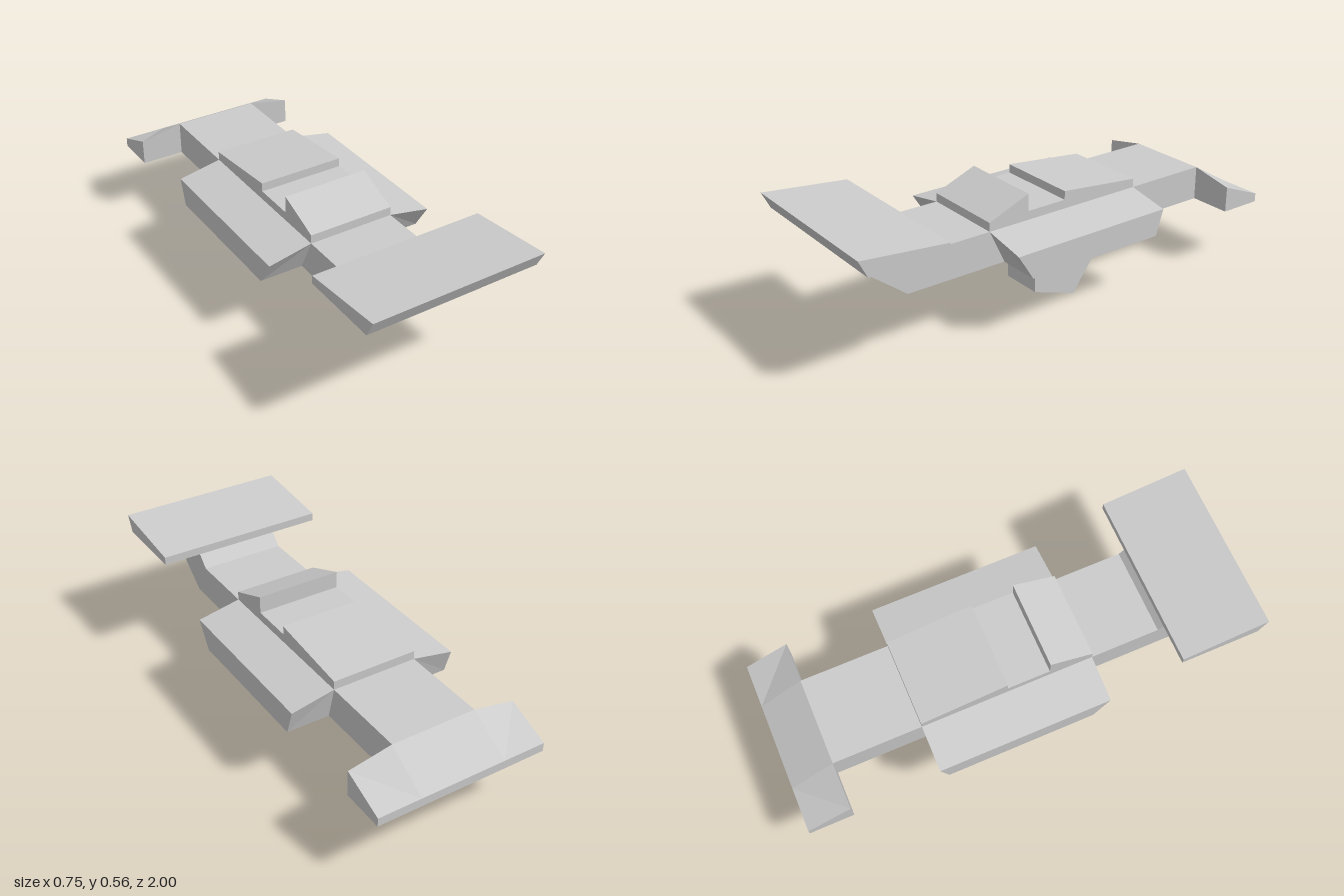
import * as THREE from 'three';

const HALF = 0.188;  // half width of the hull
const WIDE = 0.377;  // half width of wings and pods

const material = new THREE.MeshStandardMaterial({ color: 0xcccccc, flatShading: true });

function addMesh(group, name, geometry) {
  const mesh = new THREE.Mesh(geometry, material);
  mesh.name = name;
  group.add(mesh);
}

// Side profile of [z, y] points, extruded across from x0 to x1
function sideExtrude(profile, x0, x1) {
  const shape = new THREE.Shape(profile.map(([z, y]) => new THREE.Vector2(-z, y)));
  const geometry = new THREE.ExtrudeGeometry(shape, { depth: x1 - x0, bevelEnabled: false });
  return geometry.rotateY(Math.PI / 2).translate(x0, 0, 0);
}

// Four-sided block between an inner and an outer [z, y] section; side is 1 or -1
function sideBlock(inner, outer, side) {
  const a = inner.map(([z, y]) => [side * HALF, y, z]);
  const b = outer.map(([z, y]) => [side * WIDE, y, z]);
  const triangles = [[b[0], b[1], b[2]], [b[0], b[2], b[3]], [a[2], a[1], a[0]], [a[3], a[2], a[0]]];
  for (let i = 0; i < 4; i++) {
    const j = (i + 1) % 4;
    // The back end folds along the opposite diagonal
    if (i === 1) triangles.push([a[i], a[j], b[i]], [a[j], b[j], b[i]]);
    else triangles.push([a[i], a[j], b[j]], [a[i], b[j], b[i]]);
  }
  if (side < 0) triangles.forEach((t) => t.reverse());
  const geometry = new THREE.BufferGeometry();
  geometry.setAttribute('position', new THREE.Float32BufferAttribute(triangles.flat(2), 3));
  geometry.computeVertexNormals();
  return geometry;
}

export function createModel() {
  const group = new THREE.Group();
  group.name = 'racer';

  // Hull with sloped nose and raised tail strut
  addMesh(group, 'hull', sideExtrude([
    [0.70, 0.257], [-1, 0.257], [-1, 0.295], [-0.81, 0.407],
    [0.62, 0.407], [0.70, 0.487], [0.89, 0.487], [0.89, 0.407],
  ], -HALF, HALF));

  // Cockpit cover with a stepped seat gap
  addMesh(group, 'cockpit', sideExtrude([
    [0.32, 0.407], [-0.43, 0.407], [-0.43, 0.445], [-0.055, 0.483],
    [-0.055, 0.445], [0.13, 0.445], [0.13, 0.52], [0.32, 0.445],
  ], -HALF, HALF));

  // Tail wing
  addMesh(group, 'tailWing', sideExtrude([
    [0.965, 0.485], [0.625, 0.485], [0.625, 0.52], [1, 0.557],
  ], -WIDE, WIDE));

  // Offset keel below the hull
  addMesh(group, 'keel', sideExtrude([
    [0.095, 0.257], [0.095, 0.07], [-0.11, 0], [-0.24, 0.18], [-0.19, 0.257],
  ], 0, HALF));

  // Mirrored side pods and nose wings
  for (const [label, side] of [['left', 1], ['right', -1]]) {
    addMesh(group, `${label}SidePod`, sideBlock(
      [[0.25, 0.257], [-0.395, 0.257], [-0.43, 0.407], [0.32, 0.407]],
      [[0.25, 0.257], [-0.395, 0.257], [-0.43, 0.37], [0.32, 0.37]], side));
    addMesh(group, `${label}NoseWing`, sideBlock(
      [[-0.81, 0.257], [-1, 0.257], [-1, 0.295], [-0.81, 0.407]],
      [[-0.81, 0.257], [-1, 0.257], [-1, 0.295], [-0.81, 0.37]], side));
  }
  return group;
}
